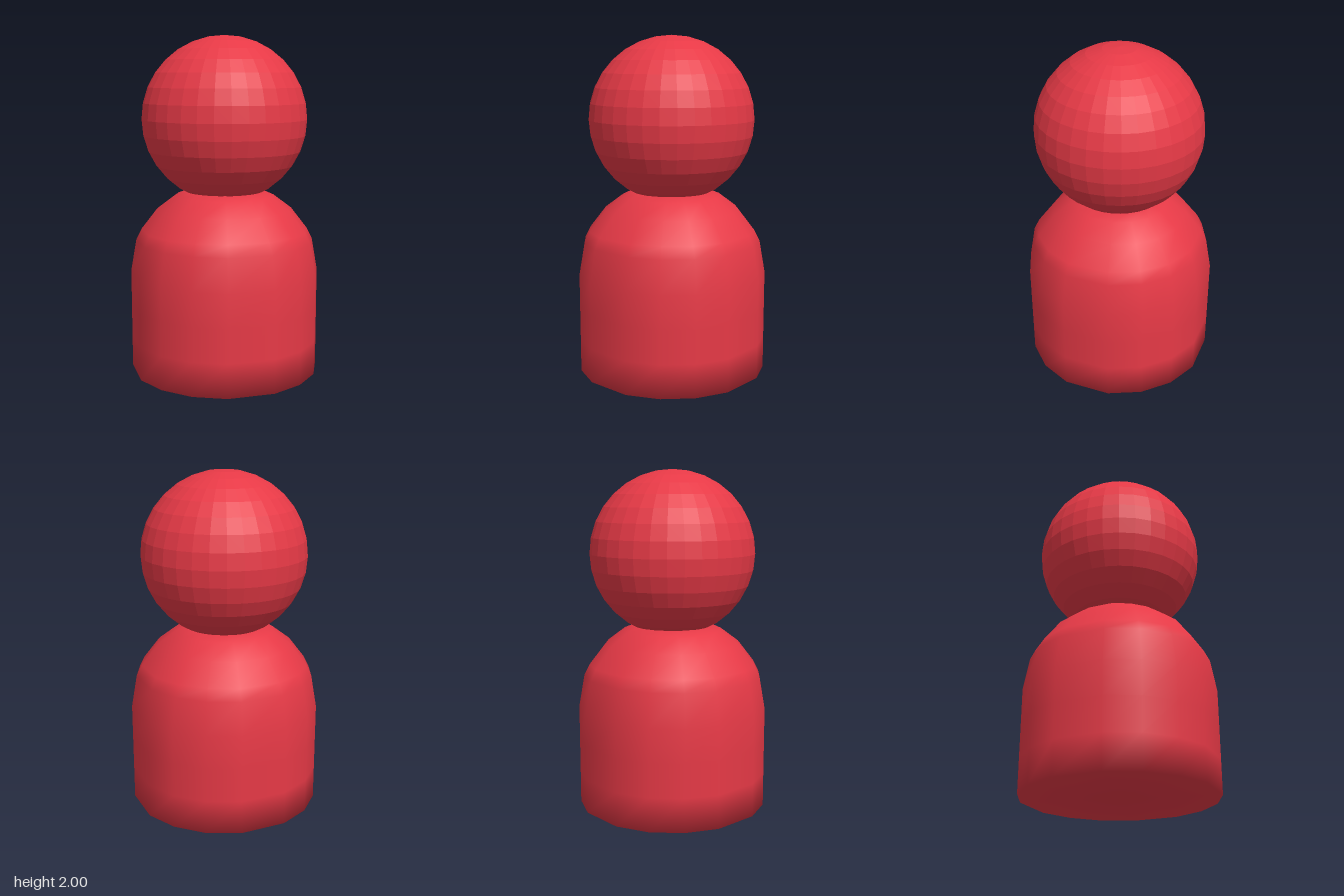
import * as THREE from 'three';

const material = new THREE.MeshStandardMaterial({ color: 0xe63946 });
const flatMaterial = new THREE.MeshStandardMaterial({ color: 0xe63946, flatShading: true });

// Sixteen-sided outline: each quadrant repeats four corners
function outline() {
  const quadrant = [[0.555, 0.1], [0.485, 0.29], [0.29, 0.485], [0.1, 0.555]];
  const points = [];
  for (let q = 0; q < 4; q++) {
    for (const [x, z] of quadrant) {
      points.push([[x, z], [-z, x], [-x, -z], [z, -x]][q]);
    }
  }
  return points;
}

// Stacks scaled copies of the outline, with shared vertices for soft shading
function bodyGeometry() {
  const points = outline(), n = points.length;
  // half width, height
  const rings = [
    [0.555, 0], [0.555, 0.2], [0.555, 0.4], [0.555, 0.6], [0.522, 0.79],
    [0.49, 0.855], [0.395, 0.98], [0.29, 1.06], [0.22, 1.087],
  ];
  const position = [], index = [];
  for (const [width, y] of rings) {
    const s = width / 0.555;
    for (const [x, z] of points) position.push(x * s, y, z * s);
  }
  for (let r = 0; r < rings.length - 1; r++) {
    for (let i = 0; i < n; i++) {
      const a = r * n + i, b = r * n + (i + 1) % n;
      index.push(a, a + n, b, b, a + n, b + n);
    }
  }
  // closed bottom and top
  const bottom = rings.length * n, top = bottom + 1, last = (rings.length - 1) * n;
  position.push(0, 0, 0, 0, 1.09, 0);
  for (let i = 0; i < n; i++) {
    const j = (i + 1) % n;
    index.push(bottom, i, j, top, last + j, last + i);
  }
  const geometry = new THREE.BufferGeometry();
  geometry.setAttribute('position', new THREE.Float32BufferAttribute(position, 3));
  geometry.setIndex(index);
  geometry.computeVertexNormals();
  return geometry;
}

export function createModel() {
  const group = new THREE.Group();
  group.name = 'pegFigure';

  // Rounded body
  const body = new THREE.Mesh(bodyGeometry(), material);
  body.name = 'body';

  // Faceted ball head, sunk slightly into the body
  const head = new THREE.Mesh(new THREE.SphereGeometry(0.488, 32, 16), flatMaterial);
  head.name = 'head';
  head.position.y = 1.512;

  group.add(body, head);
  return group;
}
